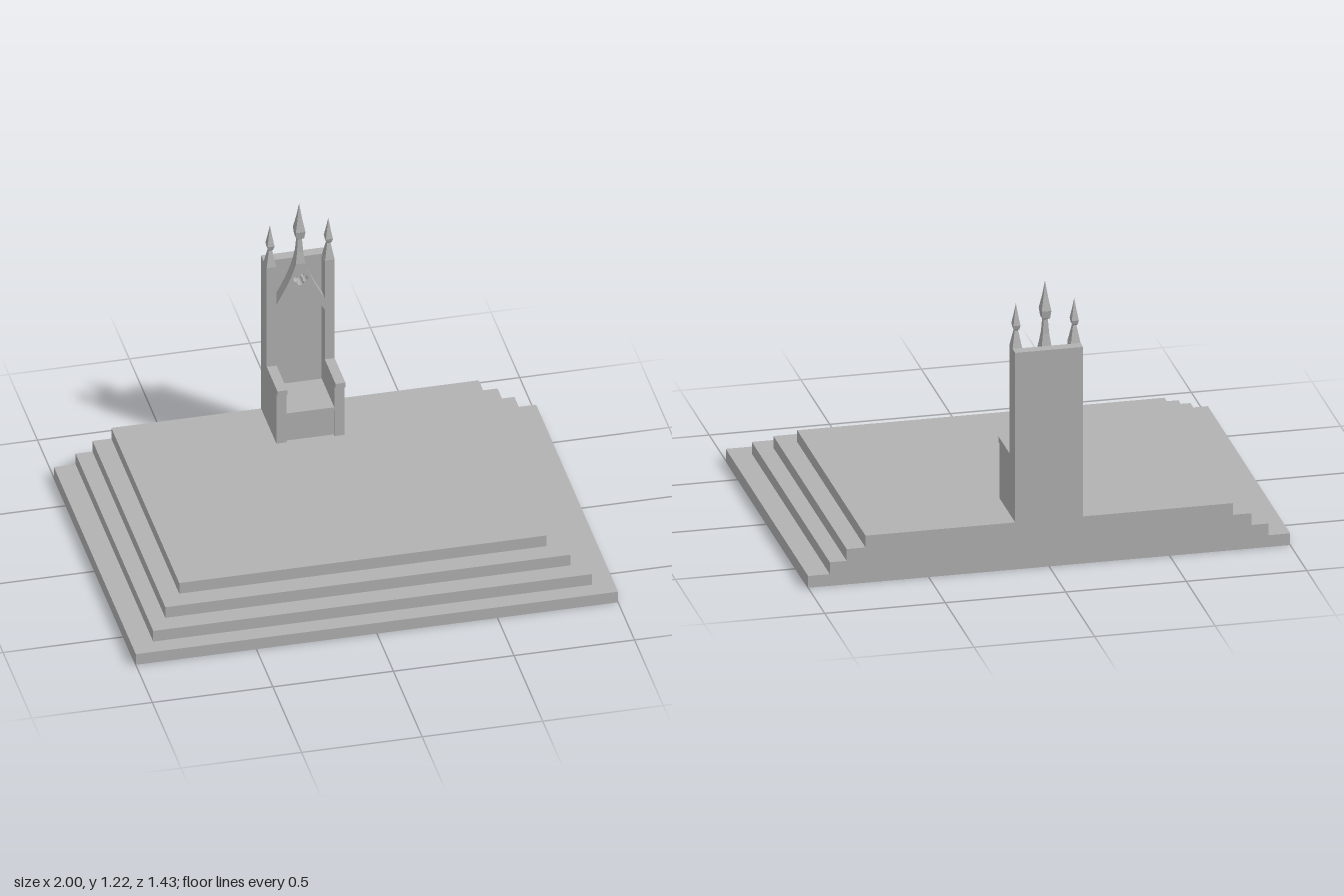
import * as THREE from 'three';

export function createModel() {
  const root = new THREE.Group();
  root.name = 'throneOnDais';
  const stone = new THREE.MeshStandardMaterial({ color: 0xb2b2b2 });
  stone.name = 'grey stone';

  const add = (name, geometry, parent = root) => {
    const mesh = new THREE.Mesh(geometry, stone);
    mesh.name = name;
    parent.add(mesh);
    return mesh;
  };
  // Box given by its bounds
  const box = (name, x0, x1, y0, y1, z0, z1, parent) => {
    const g = new THREE.BoxGeometry(x1 - x0, y1 - y0, z1 - z0);
    g.translate((x0 + x1) / 2, (y0 + y1) / 2, (z0 + z1) / 2);
    return add(name, g, parent);
  };

  // Dais: four steps sharing a flush back
  const back = -0.713;
  const dais = new THREE.Group();
  dais.name = 'dais';
  root.add(dais);
  [[1, 0.713], [0.91, 0.638], [0.84, 0.555], [0.762, 0.47]].forEach(([hx, front], i) =>
    box('step' + (i + 1), -hx, hx, i * 0.051, (i + 1) * 0.051, back, front, dais));

  const throne = new THREE.Group();
  throne.name = 'throne';
  root.add(throne);
  const floor = 0.203, panelZ = -0.668, frontZ = -0.615;

  // Plain rear slab
  box('backSlab', -0.141, 0.141, floor, 0.94, back, panelZ, throne);

  // Front frame: posts, steep gable and pointed niche, cut with a quatrefoil
  const frame = new THREE.Shape();
  frame.moveTo(-0.141, floor);
  frame.lineTo(-0.1, floor);
  frame.lineTo(-0.1, 0.705);
  frame.quadraticCurveTo(-0.07, 0.76, 0, 0.78);
  frame.quadraticCurveTo(0.07, 0.76, 0.1, 0.705);
  frame.lineTo(0.1, floor);
  frame.lineTo(0.141, floor);
  frame.lineTo(0.141, 0.94);
  frame.lineTo(0.1, 0.94);
  frame.lineTo(0.1, 0.76);
  frame.quadraticCurveTo(0.04, 0.865, 0.02, 0.94);
  frame.lineTo(-0.02, 0.94);
  frame.quadraticCurveTo(-0.04, 0.865, -0.1, 0.76);
  frame.lineTo(-0.1, 0.94);
  frame.lineTo(-0.141, 0.94);
  frame.closePath();
  const quatrefoil = new THREE.Path();
  for (let i = 0; i < 4; i++) {
    const a = i * Math.PI / 2;
    quatrefoil.absarc(0.016 * Math.cos(a), 0.868 + 0.016 * Math.sin(a), 0.014,
      a - 1.9, a + 1.9, false);
  }
  frame.holes.push(quatrefoil);
  const frameGeo = new THREE.ExtrudeGeometry(frame,
    { depth: frontZ - panelZ, bevelEnabled: false, curveSegments: 8 });
  frameGeo.translate(0, 0, panelZ);
  add('frontFrame', frameGeo, throne);

  // Four-sided spire from [half width, height] pairs, deeper than wide
  const spire = (name, x, profile) => {
    const points = profile.map(([r, y]) => new THREE.Vector2(r * Math.SQRT2, y));
    const g = new THREE.LatheGeometry(points, 4, Math.PI / 4).toNonIndexed();
    g.scale(1, 1, 1.32);
    g.computeVertexNormals();
    g.translate(x, 0, (panelZ + frontZ) / 2);
    return add(name, g, throne);
  };
  spire('centreFinial', 0, [[0.02, 0.94], [0.013, 0.99], [0.009, 1.05], [0.016, 1.057],
    [0.02, 1.09], [0.009, 1.15], [0, 1.215]]);
  for (const s of [-1, 1]) {
    spire('sidePinnacle', s * 0.121, [[0.02, 0.94], [0.007, 1.012], [0.011, 1.018],
      [0.0145, 1.035], [0.007, 1.08], [0, 1.127]]);
  }

  // Seat and arms
  box('seatBase', -0.1, 0.1, floor, 0.325, panelZ, -0.458, throne);
  box('seat', -0.1, 0.1, 0.325, 0.34, panelZ, -0.449, throne);
  for (const s of [-1, 1]) {
    const x0 = s > 0 ? 0.1 : -0.141, x1 = x0 + 0.041;
    box('armPanel', x0, x1, floor, 0.443, frontZ, -0.445, throne);
    box('armrest', x0, x1, 0.443, 0.466, frontZ, -0.427, throne);
  }
  return root;
}
